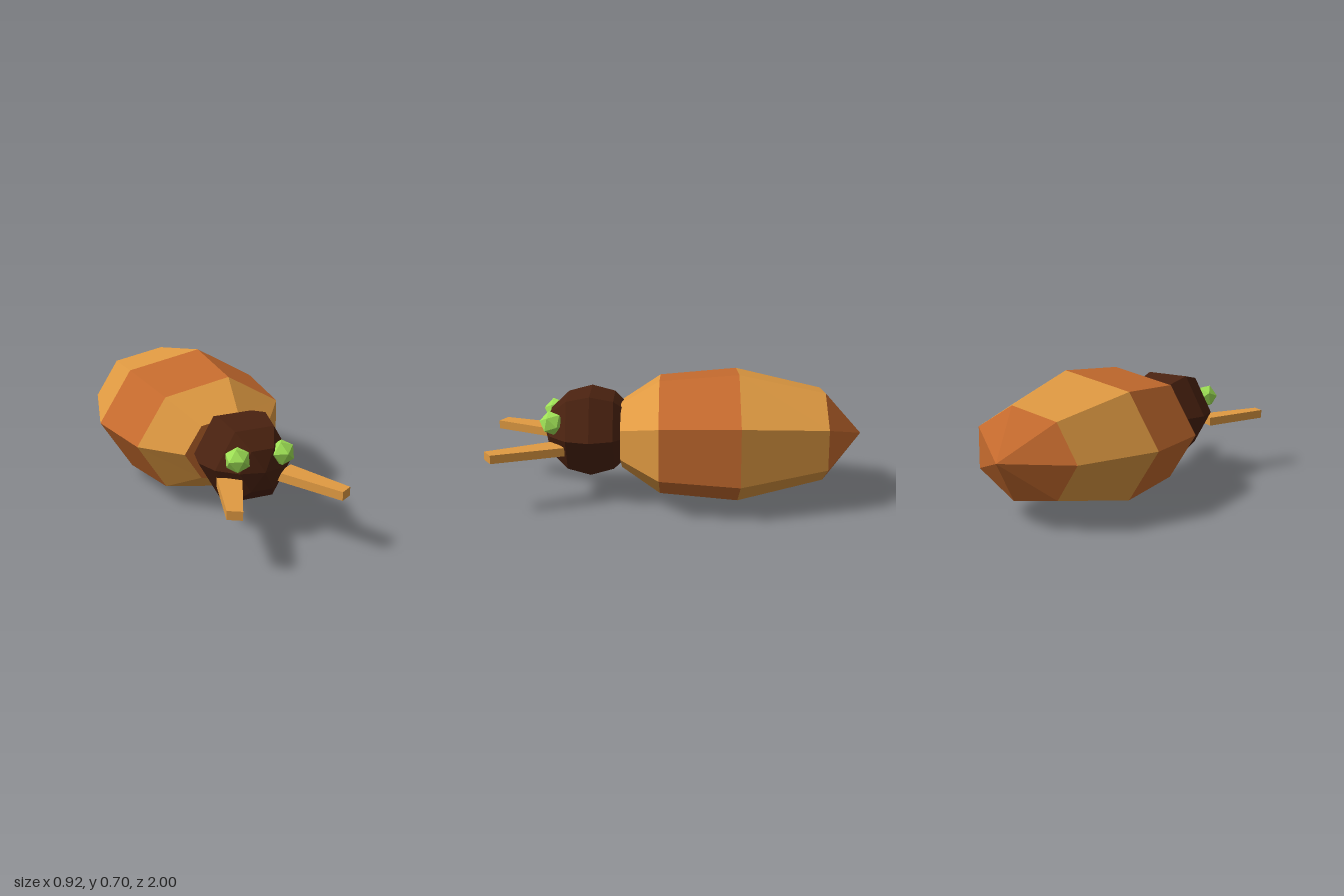
import * as THREE from 'three';

const CX = 0.024; // shared centre line of all parts

const mat = (name, color) => {
  const m = new THREE.MeshStandardMaterial({ color });
  m.name = name;
  return m;
};

// Faceted shading baked into the normals
function faceted(geometry) {
  const g = geometry.index ? geometry.toNonIndexed() : geometry;
  g.computeVertexNormals();
  return g;
}

// Seven-sided oval ring; a zero radius makes a pole
function ring([z, rx, ry]) {
  return Array.from({ length: 7 }, (_, j) => {
    const a = Math.PI + (j * Math.PI * 2) / 7;
    return [CX + rx * Math.cos(a), 0.355 + ry * Math.sin(a), z];
  });
}

// Band of faces between a front ring and a back ring
function band(front, back) {
  const a = ring(front), b = ring(back), p = [];
  for (let j = 0; j < 7; j++) {
    const k = (j + 1) % 7;
    if (front[1] > 0) p.push(...a[j], ...b[j], ...a[k]);
    if (back[1] > 0) p.push(...a[k], ...b[j], ...b[k]);
  }
  const g = new THREE.BufferGeometry();
  g.setAttribute('position', new THREE.Float32BufferAttribute(p, 3));
  return faceted(g);
}

export function createModel() {
  const model = new THREE.Group();
  model.name = 'beetle';
  const tan = mat('tan', 0xe09a42);
  const rust = mat('rust', 0xc66b2e);
  const brown = mat('darkBrown', 0x4a2210);
  const green = mat('green', 0x9ee055);

  const add = (name, geometry, material, parent = model) => {
    const mesh = new THREE.Mesh(geometry, material);
    mesh.name = name;
    parent.add(mesh);
    return mesh;
  };

  // Abdomen: bands alternating in colour from neck to tail
  const abdomen = new THREE.Group();
  abdomen.name = 'abdomen';
  model.add(abdomen);
  const rings = [
    [0.29, 0, 0],
    [0.29, 0.25, 0.184],
    [0.085, 0.432, 0.323],
    [-0.335, 0.484, 0.361],
    [-0.795, 0.335, 0.25],
    [-1.0, 0, 0],
  ];
  const names = ['neckCap', 'shoulderBand', 'middleBand', 'rearBand', 'tail'];
  names.forEach((name, i) => {
    add(name, band(rings[i], rings[i + 1]), i % 2 ? tan : rust, abdomen);
  });

  // Head: coarse ball with its poles along z
  const headGeometry = new THREE.SphereGeometry(0.25, 6, 6).rotateX(Math.PI / 2);
  add('head', faceted(headGeometry), brown).position.set(CX + 0.001, 0.372, 0.455);

  // Eyes: one corner faces forward and slightly up
  const eyeGeometry = new THREE.IcosahedronGeometry(0.068, 0)
    .rotateX(Math.atan(2 / (1 + Math.sqrt(5))))
    .rotateZ(-Math.PI / 2)
    .rotateX(-0.2);
  add('rightEye', eyeGeometry, green).position.set(-0.105, 0.443, 0.655);
  add('leftEye', eyeGeometry, green).position.set(0.141, 0.443, 0.655);

  // Mandibles: tapered flat bars spreading forward
  const outline = [[0.209, 0.585], [0.099, 0.652], [0.268, 0.998], [0.334, 0.957]];
  for (const side of [-1, 1]) {
    const shape = new THREE.Shape(
      outline.map(([x, z]) => new THREE.Vector2(CX + side * x, -z)));
    const g = new THREE.ExtrudeGeometry(shape, { depth: 0.046, bevelEnabled: false });
    g.rotateX(-Math.PI / 2);
    g.translate(0, 0.29, 0);
    add(side < 0 ? 'rightMandible' : 'leftMandible', g, tan);
  }

  return model;
}
